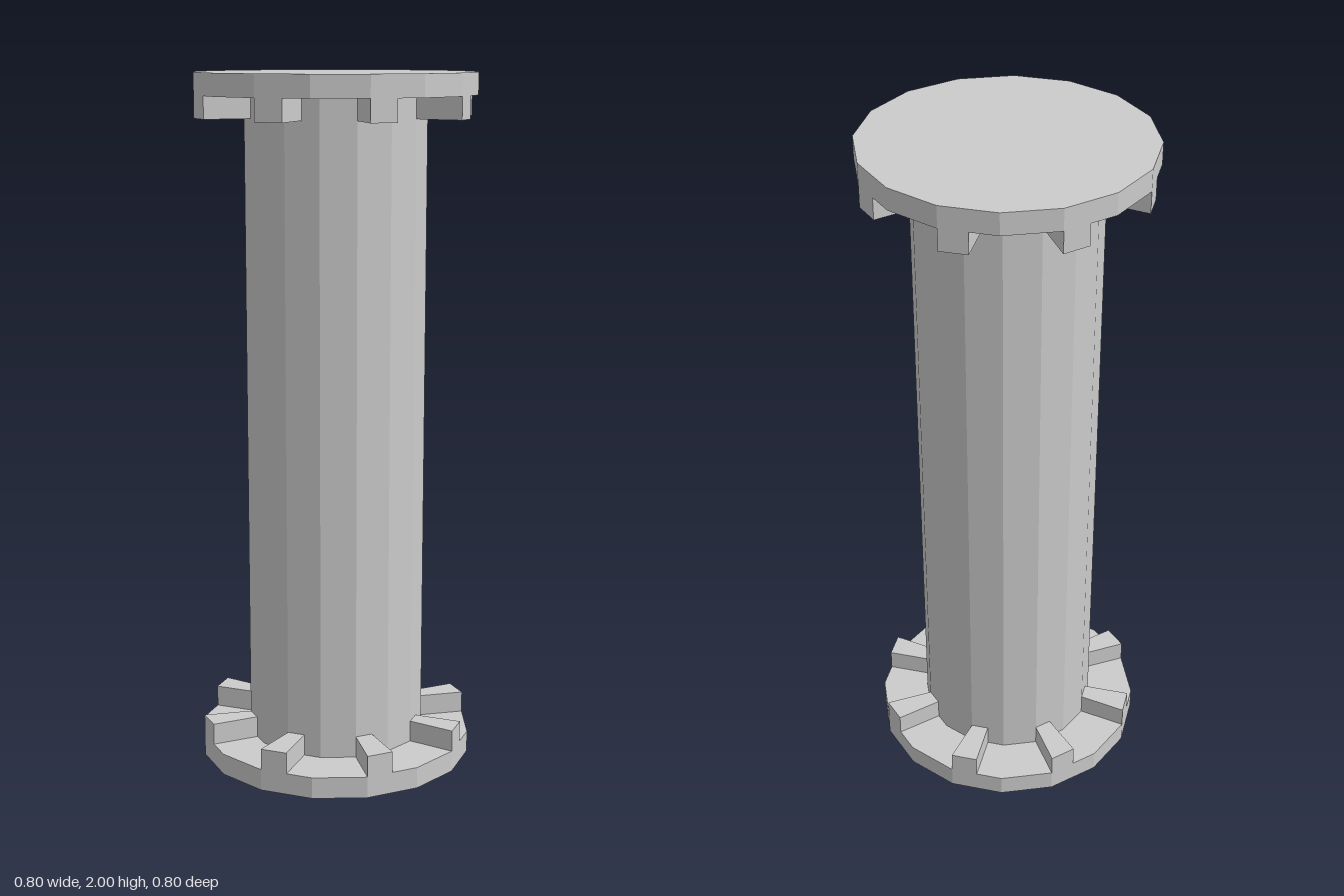
import * as THREE from 'three';

const SIDES = 16;
const STEP = (Math.PI * 2) / SIDES;
const FLANGE_R = 0.4, FLANGE_H = 0.0625;
const SHAFT_R = 0.26, HEIGHT = 2;

export function createModel() {
  const model = new THREE.Group();
  model.name = 'spool';
  const material = new THREE.MeshStandardMaterial({ color: 0xcccccc, flatShading: true });

  const add = (parent, name, geometry, y) => {
    const mesh = new THREE.Mesh(geometry, material);
    mesh.name = name;
    mesh.position.y = y;
    parent.add(mesh);
    return mesh;
  };

  // Shaft between the two flanges
  const shaftLength = HEIGHT - 2 * FLANGE_H;
  add(model, 'shaft',
    new THREE.CylinderGeometry(SHAFT_R, SHAFT_R, shaftLength, SIDES, 1, true), HEIGHT / 2);

  // Tooth: a wedge covering half of one flange facet, from the shaft to the rim
  const at = (r, angle) => new THREE.Vector2(r * Math.sin(angle), -r * Math.cos(angle));
  const mid = Math.cos(STEP / 2); // radius factor at the middle of a facet
  const toothShape = new THREE.Shape([
    at(SHAFT_R, 0), at(FLANGE_R, 0),
    at(FLANGE_R * mid, STEP / 2), at(SHAFT_R * mid, STEP / 2),
  ]);
  const tooth = new THREE.ExtrudeGeometry(toothShape, { depth: FLANGE_H, bevelEnabled: false });
  tooth.rotateX(-Math.PI / 2);

  const disc = new THREE.CylinderGeometry(FLANGE_R, FLANGE_R, FLANGE_H, SIDES);

  // Flanges, each with eight teeth facing the shaft
  for (const [name, discY, toothY] of [
    ['bottom', FLANGE_H / 2, FLANGE_H],
    ['top', HEIGHT - FLANGE_H / 2, HEIGHT - 2 * FLANGE_H],
  ]) {
    const end = new THREE.Group();
    end.name = name + 'End';
    add(end, name + 'Flange', disc, discY);
    for (let i = 0; i < SIDES / 2; i++) {
      add(end, name + 'Tooth', tooth, toothY).rotation.y = STEP * (2 * i + 1);
    }
    model.add(end);
  }

  return model;
}
